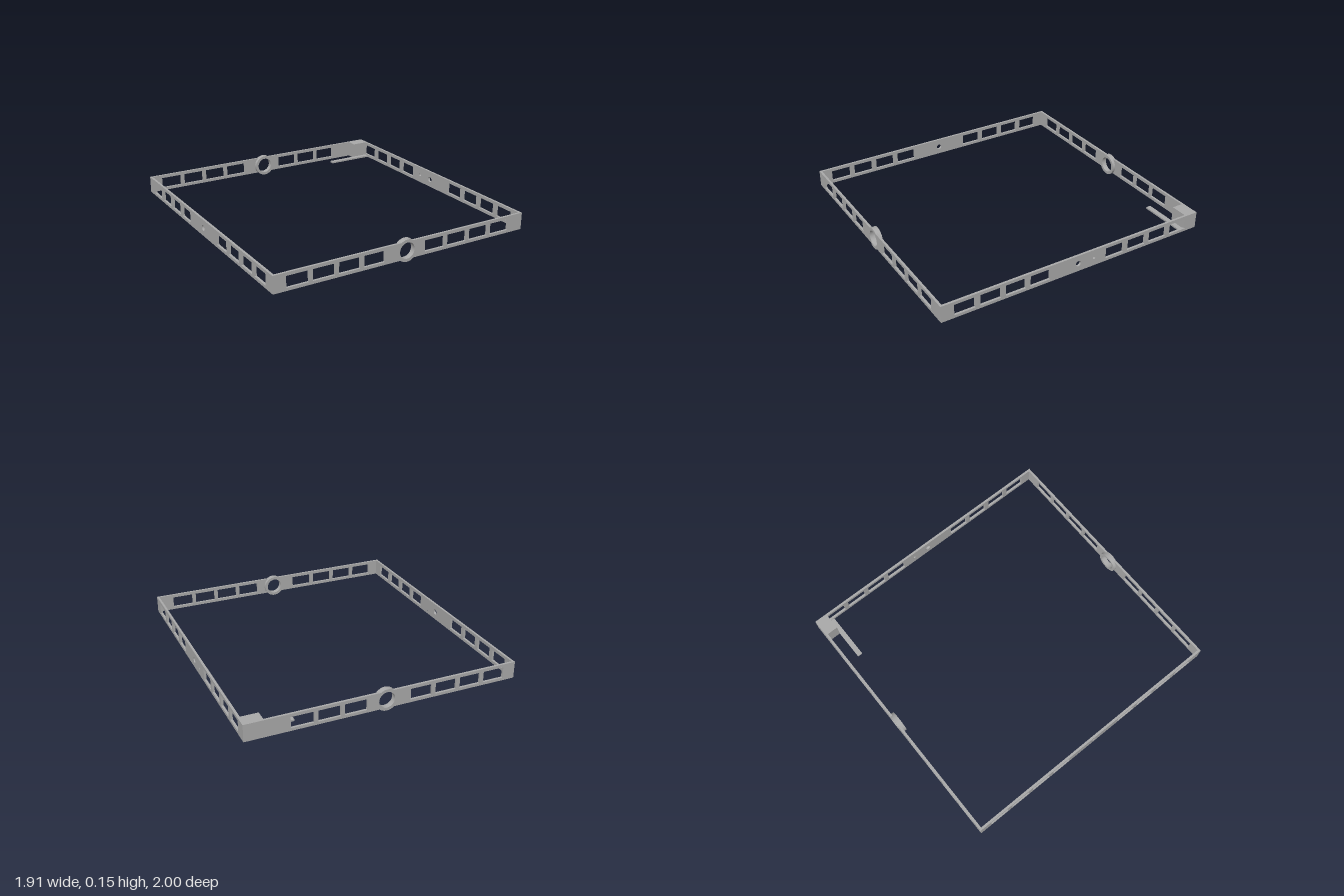
import * as THREE from 'three';

const HALF_X = 0.955, T = 0.016;          // half width, wall thickness
const Y0 = 0.02, Y1 = 0.14, MID = 0.078;  // wall bottom, top and hole height

function rectPath(path, x0, y0, x1, y1) {
  path.moveTo(x0, y0);
  path.lineTo(x1, y0);
  path.lineTo(x1, y1);
  path.lineTo(x0, y1);
  path.closePath();
  return path;
}

function circleHole(x, r) {
  return new THREE.Path().absarc(x, MID, r, 0, Math.PI * 2, true);
}

// Flat wall pierced by rectangular windows and round holes
function wallGeometry(half, windows, rounds) {
  const shape = rectPath(new THREE.Shape(), -half, Y0, half, Y1);
  for (const [a, b] of windows) shape.holes.push(rectPath(new THREE.Path(), a, 0.04, b, 0.118));
  for (const [x, r] of rounds) shape.holes.push(circleHole(x, r));
  return new THREE.ExtrudeGeometry(shape, { depth: T, bevelEnabled: false, curveSegments: 24 });
}

export function createModel() {
  const group = new THREE.Group();
  const grey = new THREE.MeshStandardMaterial({ color: 0xaaaaaa });
  grey.name = 'grey';

  const add = (name, geometry, x, y, z, rotY = 0) => {
    const mesh = new THREE.Mesh(geometry, grey);
    mesh.name = name;
    mesh.position.set(x, y, z);
    mesh.rotation.y = rotY;
    group.add(mesh);
  };

  // Front and back walls; the back one is closed beside the corner block
  const frontWindows = [];
  for (let i = 0; i < 4; i++) {
    const left = -0.866 + i * 0.181, right = 0.138 + i * 0.18;
    frontWindows.push([left, left + 0.153], [right, right + 0.154]);
  }
  const backWindows = frontWindows.filter(([a]) => a < 0.6);
  const ringHole = [[0, 0.057]];
  add('frontWall', wallGeometry(HALF_X, frontWindows, ringHole), 0, 0, 1 - T);
  add('backWall', wallGeometry(HALF_X, backWindows, ringHole), 0, 0, -1);

  // Side walls; shape x runs along -z, the right one has an extra pin hole
  const sideWindows = [];
  for (let i = 0; i < 4; i++) {
    const a = 0.22 + i * 0.181;
    sideWindows.push([a, a + 0.146], [-a - 0.146, -a]);
  }
  const sideHalf = 1 - T;
  add('rightSideWall', wallGeometry(sideHalf, sideWindows, [[0, 0.02], [0.125, 0.01]]),
    HALF_X - T, 0, 0, Math.PI / 2);
  add('leftSideWall', wallGeometry(sideHalf, sideWindows, [[0, 0.02]]),
    -HALF_X, 0, 0, Math.PI / 2);

  // Round collars in the middle of the front and back walls
  const annulus = new THREE.Shape().absarc(0, MID, 0.077, 0, Math.PI * 2, false);
  annulus.holes.push(circleHole(0, 0.056));
  const collar = new THREE.ExtrudeGeometry(annulus, { depth: 0.038, bevelEnabled: false, curveSegments: 32 });
  add('frontCollar', collar, 0, 0, 0.962);
  add('backCollar', collar, 0, 0, -1);

  // Corner block with a thin flat tongue at its foot
  add('cornerBlock', new THREE.BoxGeometry(0.13, Y1 - Y0, 0.09), 0.885, (Y0 + Y1) / 2, -0.95);
  add('tongue', new THREE.BoxGeometry(0.355, 0.012, 0.036), 0.7675, Y0 + 0.006, -0.888);

  return group;
}
